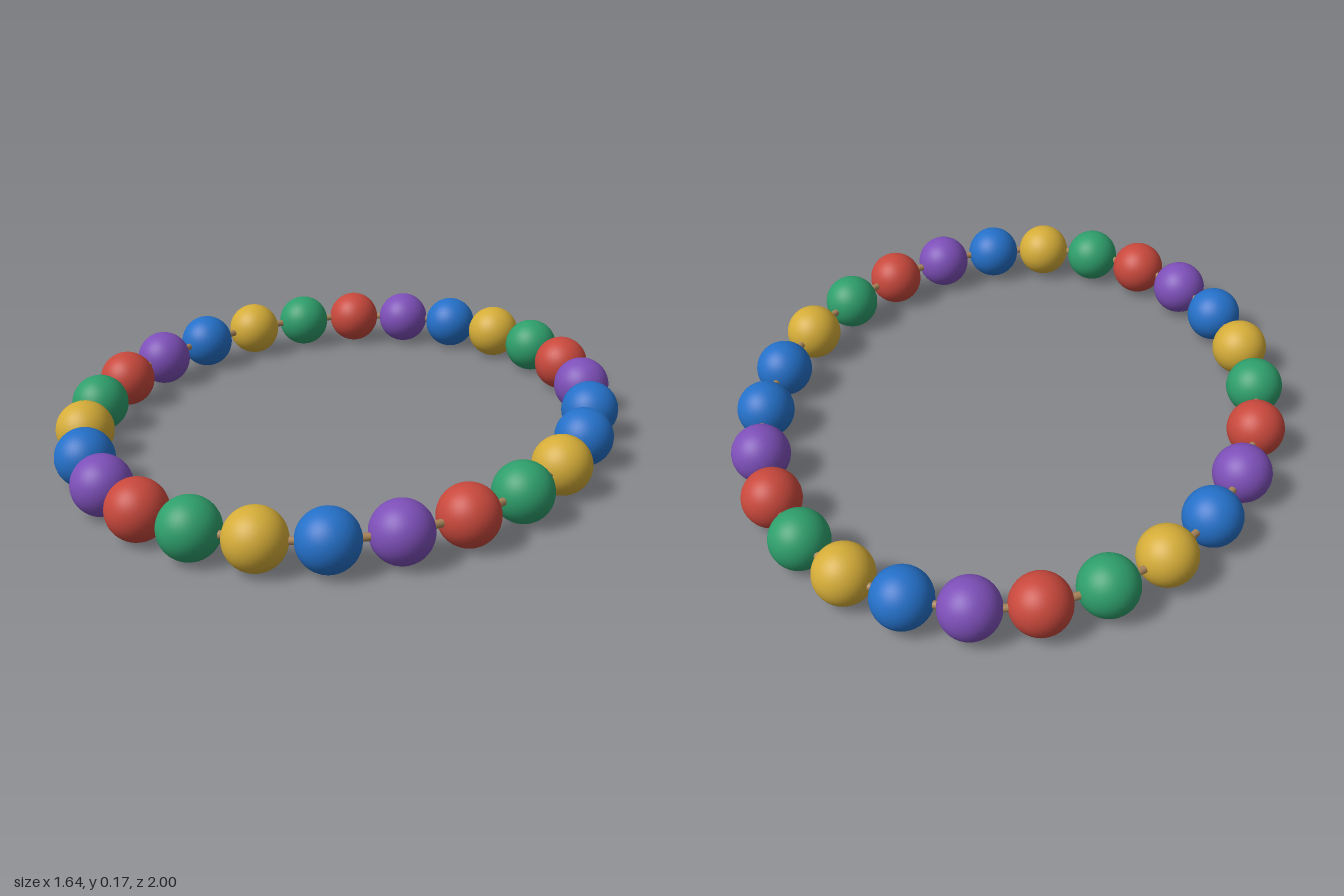
import * as THREE from 'three';

const BEADS = 26;
const BEAD_RADIUS = 0.0855;
const CORD_RADIUS = 0.011;
const HALF_WIDTH = 0.737;
const HALF_LENGTH = 0.921;

function makeMaterial(name, color) {
  const material = new THREE.MeshStandardMaterial({ color });
  material.name = name;
  return material;
}

// Point on the oval loop
function ovalPoint(i, count) {
  const a = (i / count) * Math.PI * 2;
  return new THREE.Vector3(HALF_WIDTH * Math.cos(a), BEAD_RADIUS, HALF_LENGTH * Math.sin(a));
}

export function createModel() {
  const model = new THREE.Group();
  model.name = 'beadBracelet';

  // Bead colours, in stringing order
  const beadMaterials = [
    makeMaterial('blue', 0x2470c8),
    makeMaterial('yellow', 0xd4ac38),
    makeMaterial('green', 0x2e9e6b),
    makeMaterial('red', 0xc8483c),
    makeMaterial('purple', 0x7d4fb8),
  ];

  // Cord running through all beads
  const points = Array.from({ length: 52 }, (_, i) => ovalPoint(i, 52));
  const path = new THREE.CatmullRomCurve3(points, true);
  const cord = new THREE.Mesh(
    new THREE.TubeGeometry(path, 156, CORD_RADIUS, 10, true),
    makeMaterial('tan', 0xa8845a)
  );
  cord.name = 'cord';
  model.add(cord);

  // Round beads
  const beadGeometry = new THREE.SphereGeometry(BEAD_RADIUS, 32, 24);
  for (let i = 0; i < BEADS; i++) {
    const bead = new THREE.Mesh(beadGeometry, beadMaterials[i % beadMaterials.length]);
    bead.name = `bead${i + 1}`;
    bead.position.copy(ovalPoint(i, BEADS));
    model.add(bead);
  }

  return model;
}
